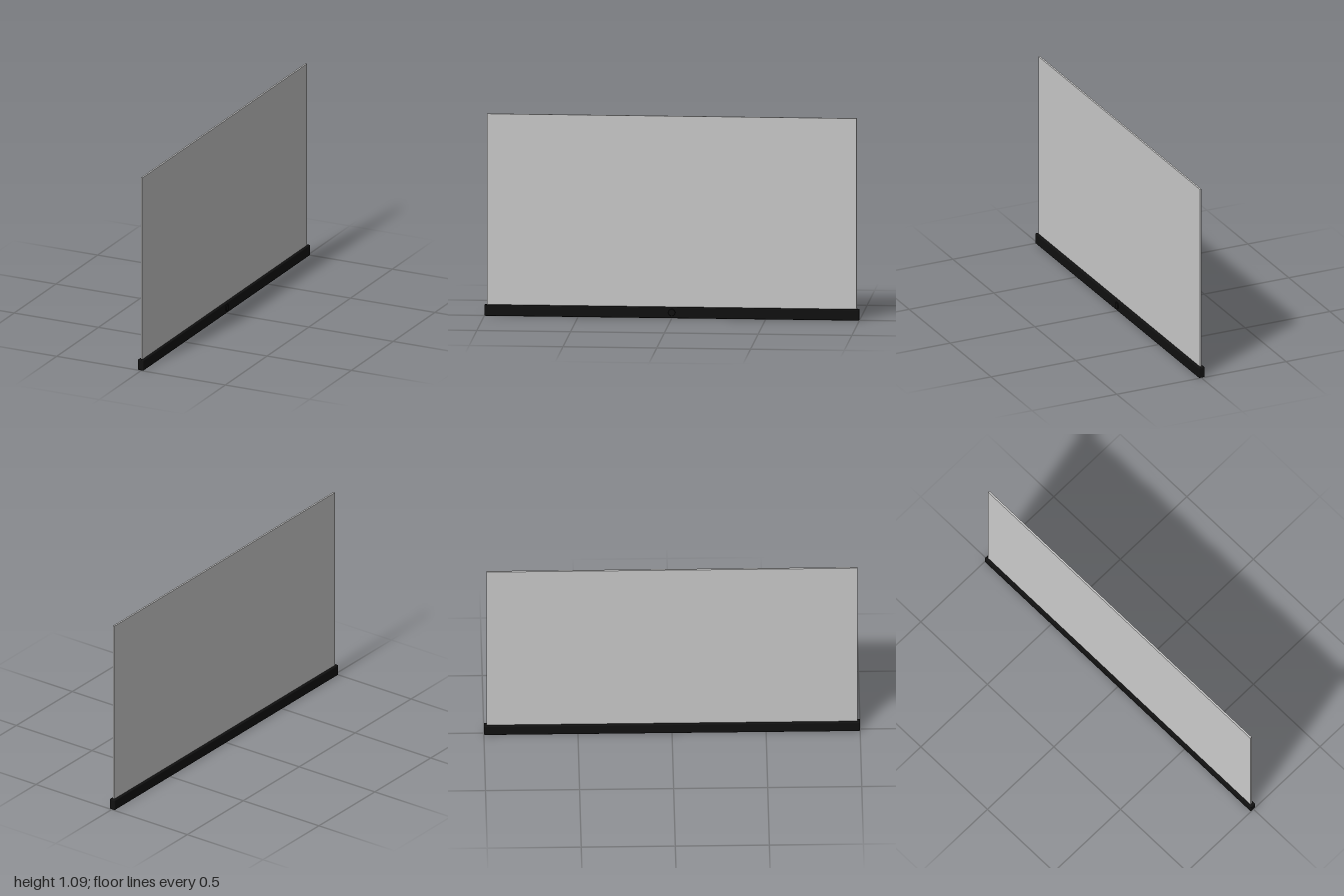
import * as THREE from 'three';
import { RoundedBoxGeometry } from 'three/addons/geometries/RoundedBoxGeometry.js';

export function createModel() {
  const model = new THREE.Group();
  const grey = new THREE.MeshStandardMaterial({ color: 0xcccccc });
  const black = new THREE.MeshStandardMaterial({ color: 0x111111 });
  const axisX = -0.003; // centre plane of the screen and its bar

  const add = (name, geometry, material, x, y, z) => {
    const mesh = new THREE.Mesh(geometry, material);
    mesh.name = name;
    mesh.position.set(x, y, z);
    model.add(mesh);
    return mesh;
  };

  // Thin upright sheet, its lower edge seated in the bar
  const bottom = 0.04, top = 1.087;
  add('screenPanel', new THREE.BoxGeometry(0.01, top - bottom, 1.97), grey,
    axisX, (top + bottom) / 2, 0);

  // Long base bar with softened edges
  add('baseBar', new RoundedBoxGeometry(0.035, 0.06, 2, 3, 0.006), black, axisX, 0.03, 0);

  // Small round button with a bevelled rim on the left face of the bar
  const profile = [[0, -0.004], [0.019, -0.004], [0.019, 0.003], [0.017, 0.005], [0, 0.005]]
    .map(([r, h]) => new THREE.Vector2(r, h));
  const buttonMaterial = black.clone();
  buttonMaterial.flatShading = true;
  const button = add('button', new THREE.LatheGeometry(profile, 32), buttonMaterial, 0.0142, 0.031, 0);
  button.rotation.z = -Math.PI / 2;

  return model;
}
